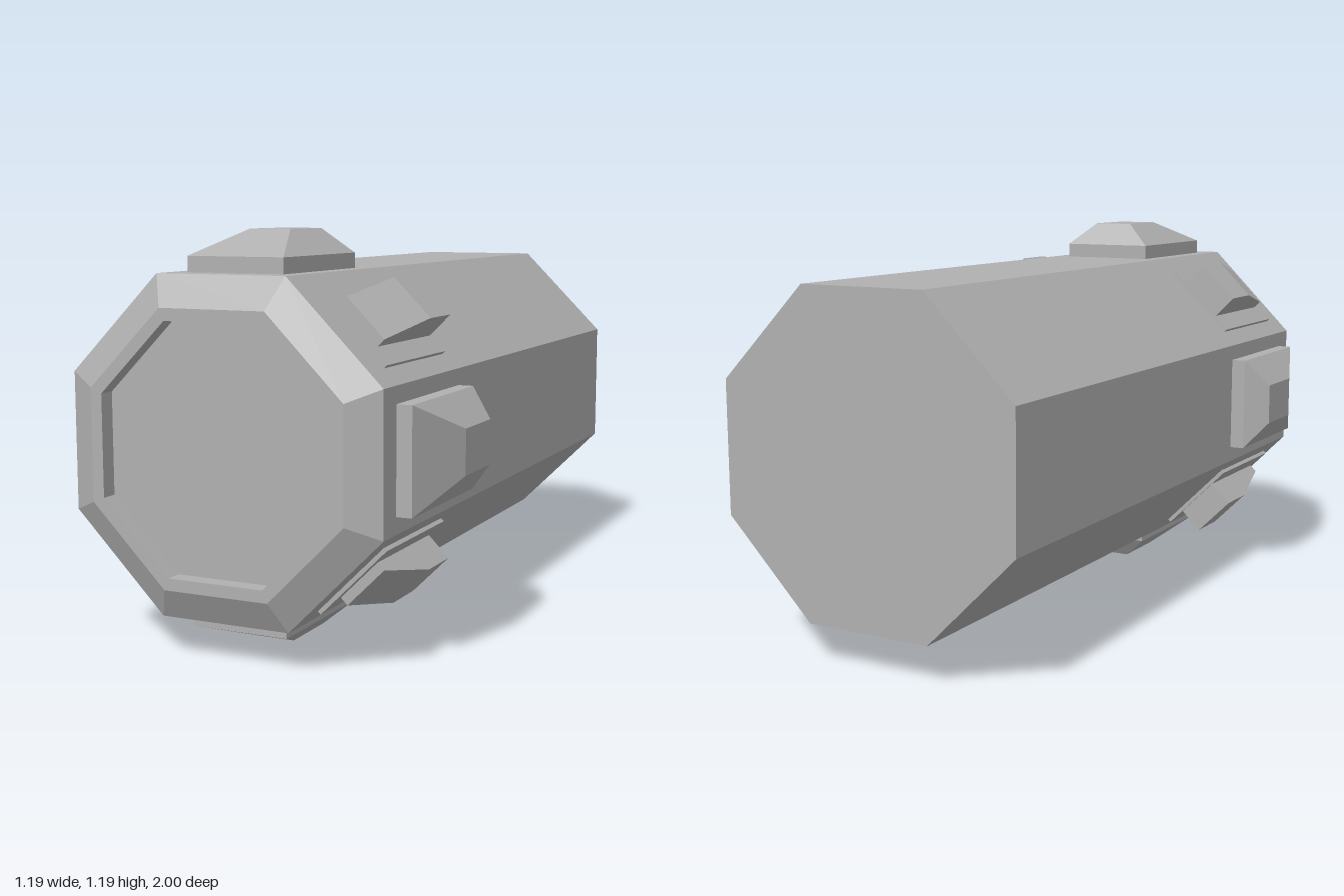
import * as THREE from 'three';

const CENTER_Y = 0.597;
const steel = new THREE.MeshStandardMaterial({ color: 0xb0b0b0 });
steel.name = 'steel grey';

// Faceted mesh: unshared vertices give each face its own normal
function part(name, geometry) {
  const flat = geometry.index ? geometry.toNonIndexed() : geometry;
  flat.computeVertexNormals();
  const mesh = new THREE.Mesh(flat, steel);
  mesh.name = name;
  return mesh;
}

// Box between two heights whose top rectangle differs from its bottom one
function frustum(y0, y1, bottom, top) {
  const g = new THREE.BoxGeometry(1, 1, 1);
  const p = g.attributes.position;
  for (let i = 0; i < p.count; i++) {
    const isTop = p.getY(i) > 0;
    const r = isTop ? top : bottom;
    p.setXYZ(i, Math.sign(p.getX(i)) * r.half, isTop ? y1 : y0, p.getZ(i) > 0 ? r.front : r.back);
  }
  return g;
}

// Octagonal body with bevelled front rim and shallow recess
function makeBody() {
  const toCorner = 1 / Math.cos(Math.PI / 8);
  const profile = [
    [0, -1], [0.48, -1], [0.48, 0.95], [0.39, 1], [0.355, 1], [0.355, 0.95], [0, 0.95],
  ].map(([r, z]) => new THREE.Vector2(r * toCorner, z));
  const g = new THREE.LatheGeometry(profile, 8, Math.PI / 8);
  g.rotateX(Math.PI / 2);
  return part('body', g);
}

// Large bevelled pad on an upright or level side
function makePad() {
  const pad = new THREE.Group();
  pad.name = 'largePad';
  const base = { half: 0.15, back: 0.43, front: 0.87 };
  pad.add(part('padBase', frustum(0.47, 0.525, base, base)));
  pad.add(part('padTop', frustum(0.525, 0.597, base, { half: 0.065, back: 0.48, front: 0.67 })));
  return pad;
}

// Thin plate with a wedge block on a diagonal side
function makeWedge() {
  const unit = new THREE.Group();
  unit.name = 'wedgeUnit';
  const plate = { half: 0.14, back: 0.453, front: 0.857 };
  unit.add(part('wedgePlate', frustum(0.47, 0.492, plate, plate)));
  const side = new THREE.Shape([
    [0.46, 0.475], [0.82, 0.475], [0.82, 0.52], [0.605, 0.58], [0.46, 0.58],
  ].map(([z, y]) => new THREE.Vector2(z, y)));
  const g = new THREE.ExtrudeGeometry(side, { depth: 0.156, bevelEnabled: false });
  g.rotateY(-Math.PI / 2);
  g.translate(0.078, 0, 0);
  unit.add(part('wedgeBlock', g));
  return unit;
}

export function createModel() {
  const model = new THREE.Group();
  model.name = 'octagonalTube';
  const assembly = new THREE.Group();
  assembly.name = 'assembly';
  assembly.position.y = CENTER_Y;
  assembly.add(makeBody());
  // Pads and wedges alternate around the eight sides
  for (let i = 0; i < 8; i++) {
    const fitting = i % 2 === 0 ? makePad() : makeWedge();
    fitting.rotation.z = (i * Math.PI) / 4;
    assembly.add(fitting);
  }
  model.add(assembly);
  return model;
}
